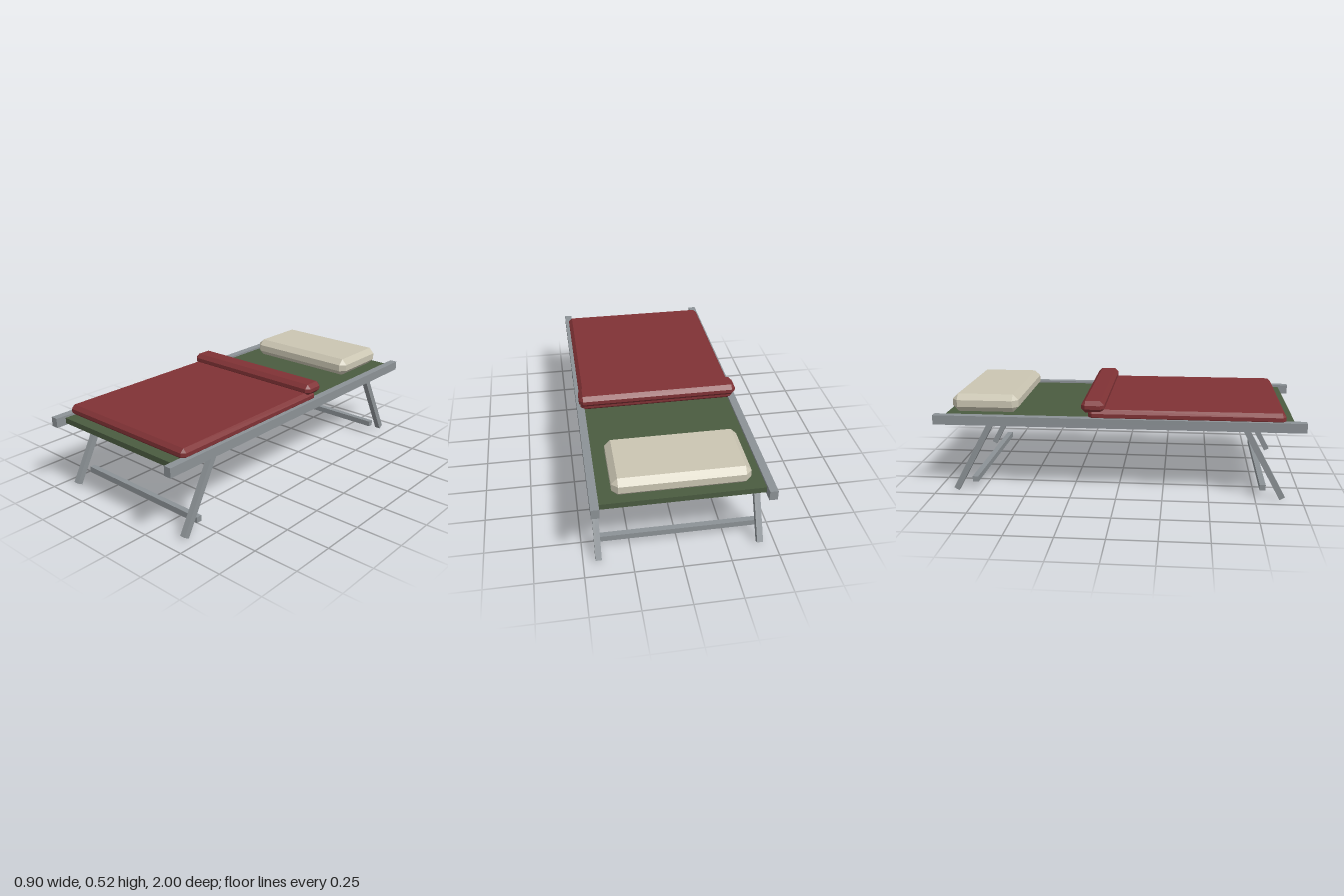
import * as THREE from 'three';
import { ConvexGeometry } from 'three/addons/geometries/ConvexGeometry.js';

const mat = (name, color) => {
  const m = new THREE.MeshStandardMaterial({ color });
  m.name = name;
  return m;
};

// Box with every edge cut by a single flat chamfer
function chamferBox(w, h, d, b) {
  const pts = [];
  for (const sx of [-1, 1]) for (const sy of [-1, 1]) for (const sz of [-1, 1]) {
    for (let axis = 0; axis < 3; axis++) {
      const inset = [b, b, b];
      inset[axis] = 0;
      pts.push(new THREE.Vector3(
        sx * (w / 2 - inset[0]), sy * (h / 2 - inset[1]), sz * (d / 2 - inset[2])));
    }
  }
  return new ConvexGeometry(pts);
}

export function createModel() {
  const model = new THREE.Group();
  model.name = 'campBed';

  const metal = mat('grey metal', 0x8c9296);
  const canvas = mat('green canvas', 0x4a5b40);
  const wool = mat('red wool', 0x803235);
  const linen = mat('cream linen', 0xcac5b2);

  const add = (name, geometry, material, x, y, z) => {
    const mesh = new THREE.Mesh(geometry, material);
    mesh.name = name;
    mesh.position.set(x, y, z);
    model.add(mesh);
    return mesh;
  };

  // Canvas bed between two long rails
  add('canvasBed', new THREE.BoxGeometry(0.825, 0.03, 1.894), canvas, 0, 0.408, -0.004);
  for (const s of [-1, 1]) {
    add(s > 0 ? 'leftRail' : 'rightRail',
      new THREE.BoxGeometry(0.042, 0.052, 2), metal, s * 0.431, 0.409, 0);
  }

  // Splayed legs with a crossbar at each end
  const bar = 0.032;
  const foot = new THREE.Vector2(0.895, 0.008);   // z, y of the leg's lower end
  const hip = new THREE.Vector2(0.681, 0.4);      // z, y of its upper end
  const legLength = foot.distanceTo(hip);
  const splay = Math.atan2(foot.x - hip.x, hip.y - foot.y);
  for (const end of [-1, 1]) {
    const where = end > 0 ? 'front' : 'back';
    for (const s of [-1, 1]) {
      const leg = add(where + (s > 0 ? 'LeftLeg' : 'RightLeg'),
        new THREE.BoxGeometry(bar, legLength, bar), metal,
        s * 0.421, (foot.y + hip.y) / 2, end * (foot.x + hip.x) / 2);
      leg.rotation.x = -end * splay;
    }
    add(where + 'Crossbar', new THREE.BoxGeometry(0.84, bar, bar), metal, 0, 0.062, end * 0.79);
  }

  // Blanket with its turned-over top edge, and the pillow
  add('blanket', chamferBox(0.866, 0.06, 1.048, 0.02), wool, -0.002, 0.448, 0.37);
  add('blanketFold', chamferBox(0.882, 0.064, 0.125, 0.022), wool, -0.001, 0.493, -0.128);
  add('pillow', chamferBox(0.686, 0.1, 0.37, 0.031), linen, 0, 0.474, -0.739);

  return model;
}
